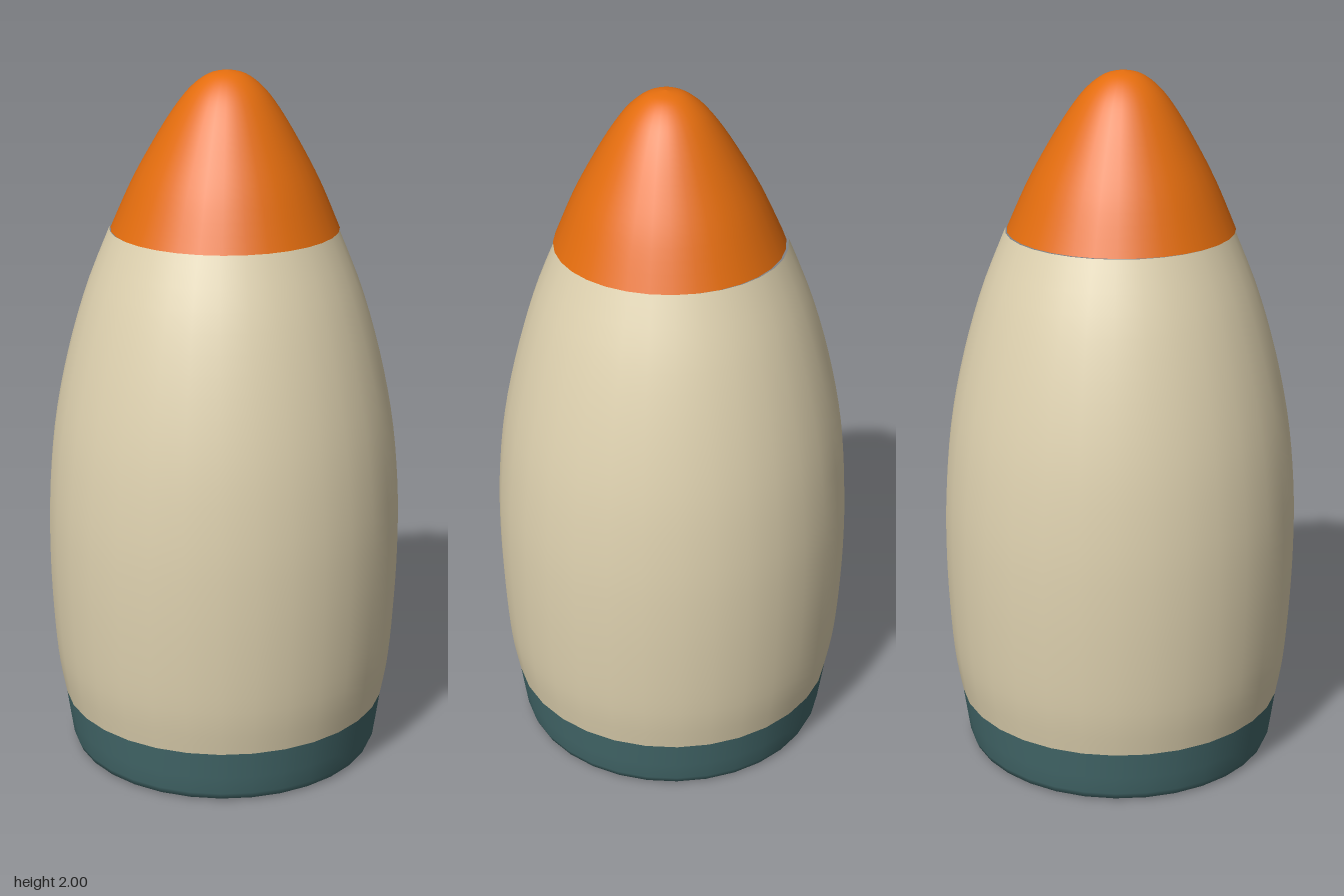
import * as THREE from 'three';

const SIDES = 32;

function material(name, color) {
  const m = new THREE.MeshStandardMaterial({ color });
  m.name = name;
  return m;
}

// Smooth surface of revolution through [radius, height] points, bottom to top
function turned(name, points, mat, smooth) {
  let profile = points.map(([r, y]) => new THREE.Vector2(r, y));
  if (smooth) {
    profile = new THREE.SplineCurve(profile).getPoints(28);
    profile.forEach((p) => { p.x = Math.max(p.x, 0); });
  }
  const mesh = new THREE.Mesh(new THREE.LatheGeometry(profile, SIDES), mat);
  mesh.name = name;
  return mesh;
}

export function createModel() {
  const orange = material('orange', 0xe46d0e);
  const cream = material('cream', 0xdfd2b0);
  const teal = material('teal', 0x44696b);

  const model = new THREE.Group();
  model.name = 'shell';

  // Slightly flared base band with a rounded lower edge
  const base = turned('baseBand', [
    [0.435, 0], [0.447, 0.006], [0.455, 0.025], [0.463, 0.08], [0.474, 0.16],
  ], teal, false);

  // Flat underside
  const underside = new THREE.Mesh(new THREE.CircleGeometry(0.435, SIDES), teal);
  underside.rotation.x = Math.PI / 2;
  underside.name = 'underside';

  // Bulging body
  const body = turned('body', [
    [0.474, 0.16], [0.494, 0.28], [0.506, 0.44], [0.511, 0.62], [0.506, 0.8],
    [0.485, 1.0], [0.444, 1.2], [0.388, 1.39], [0.32, 1.56],
  ], cream, true);

  // Rounded nose, leaning very slightly forward
  const nose = turned('noseCone', [
    [0.32, 1.56], [0.263, 1.69], [0.204, 1.8], [0.149, 1.89],
    [0.102, 1.95], [0.052, 1.988], [0, 2],
  ], orange, true);
  const pos = nose.geometry.attributes.position;
  for (let i = 0; i < pos.count; i++) {
    const t = (pos.getY(i) - 1.56) / 0.44;
    pos.setZ(i, pos.getZ(i) + 0.007 + 0.01 * t);
  }

  model.add(base, underside, body, nose);
  return model;
}
